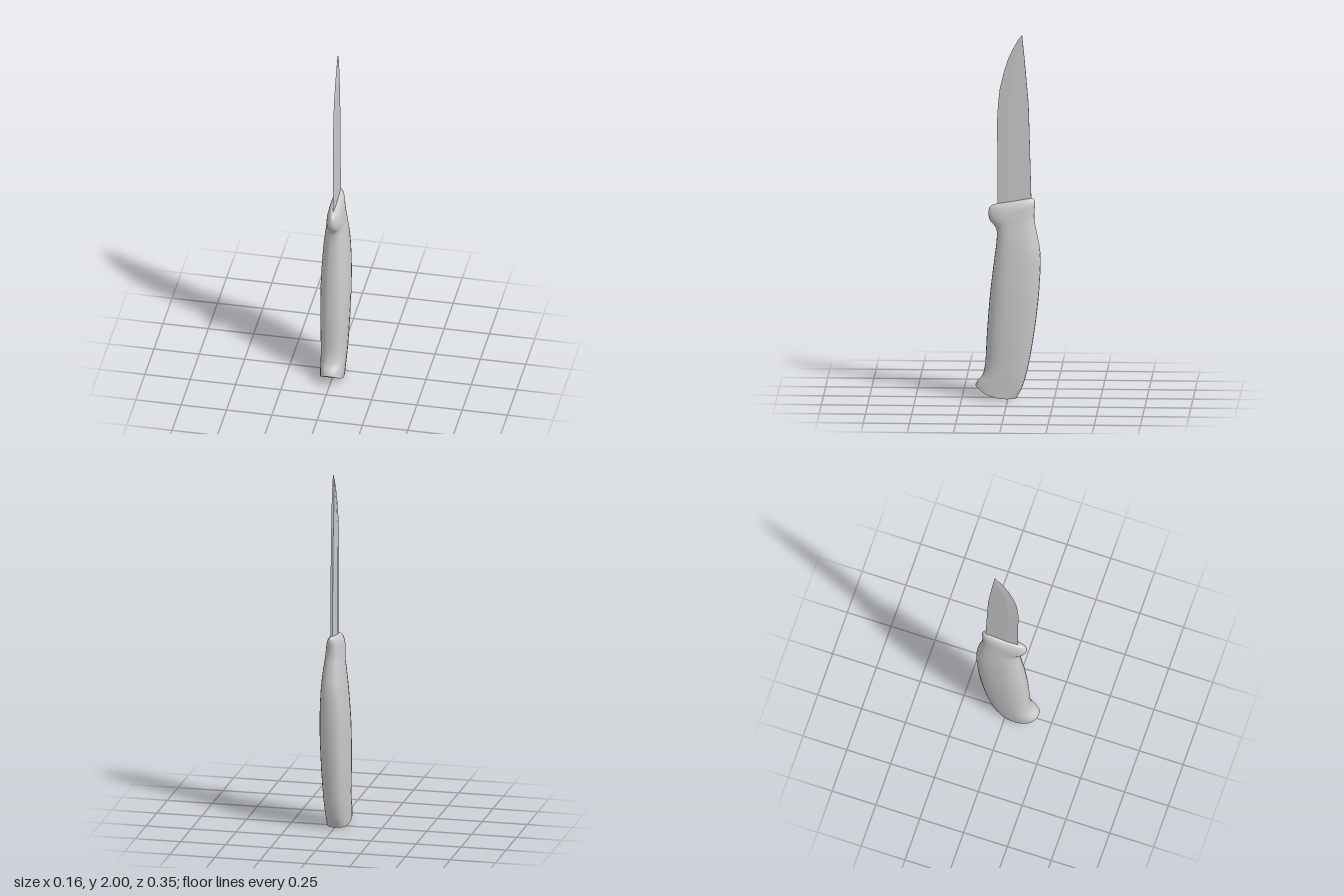
import * as THREE from 'three';

const material = new THREE.MeshStandardMaterial({ color: 0xcccccc, side: THREE.DoubleSide });

// Skins a stack of closed rings of [x, y, z] points
function loft(rings, flat) {
  const n = rings[0].length, index = [];
  for (let r = 0; r < rings.length - 1; r++) {
    for (let i = 0; i < n; i++) {
      const a = r * n + i, b = r * n + (i + 1) % n;
      index.push(a, b, b + n, a, b + n, a + n);
    }
  }
  let geometry = new THREE.BufferGeometry();
  geometry.setAttribute('position', new THREE.Float32BufferAttribute(rings.flat(2), 3));
  geometry.setIndex(index);
  if (flat) geometry = geometry.toNonIndexed();
  geometry.computeVertexNormals();
  return geometry;
}

function addPart(group, name, geometry) {
  const mesh = new THREE.Mesh(geometry, material);
  mesh.name = name;
  group.add(mesh);
}

// Handle sections: front y, front z, back y, back z, half width, bend of the section
const sections = [
  [0.07, 0.178, 0, -0.045, 0.062, 3],
  [0.09, 0.168, 0.06, -0.077, 0.065, 2],
  [0.18, 0.125, 0.18, -0.11, 0.07, 1.2],
  [0.36, 0.115, 0.4, -0.147, 0.077, 1],
  [0.575, 0.098, 0.62, -0.17, 0.078, 1],
  [0.79, 0.072, 0.8, -0.174, 0.068, 1],
  [0.88, 0.062, 0.9, -0.157, 0.058, 1],
  [0.935, 0.066, 0.98, -0.142, 0.048, 1],
  [0.975, 0.098, 1.03, -0.142, 0.043, 1],
  [1.015, 0.108, 1.07, -0.146, 0.036, 1],
  [1.045, 0.102, 1.09, -0.143, 0.026, 1],
  [1.062, 0.085, 1.1, -0.132, 0.014, 1],
  [1.068, 0.06, 1.1, -0.12, 0, 1],
];

// Rounded, slightly boxy section; scale shrinks it toward its middle
function handleRing(front, back, scale = 1) {
  const ring = [], sides = 28;
  const soften = (v) => Math.sign(v) * Math.abs(v) ** 0.8;
  for (let i = 0; i < sides; i++) {
    const a = (i / sides) * Math.PI * 2;
    const c = soften(Math.cos(a)) * scale;
    const x = soften(Math.sin(a)) * scale * Math.max(back.x, 0) * (1 + 0.08 * c * (1 - Math.abs(c)));
    const t = (c + 1) / 2;
    ring.push([x, back.y + (front.y - back.y) * t ** front.x, back.z + (front.z - back.z) * t]);
  }
  return ring;
}

// Blade sections: y, spine z, bevel z, edge z, half thickness
const bladeSections = [
  [0.95, -0.12, 0.0, 0.058, 0.006],
  [1.1, -0.125, 0.0, 0.058, 0.006],
  [1.53, -0.113, 0.0, 0.06, 0.006],
  [1.62, -0.11, -0.001, 0.055, 0.006],
  [1.7, -0.103, -0.008, 0.046, 0.006],
  [1.79, -0.095, -0.024, 0.025, 0.006],
  [1.86, -0.089, -0.043, 0.003, 0.006],
  [1.92, -0.083, -0.06, -0.024, 0.005],
  [1.97, -0.078, -0.07, -0.053, 0.004],
  [2.0, -0.075, -0.075, -0.075, 0.001],
];

export function createModel() {
  const group = new THREE.Group();
  group.name = 'knife';

  // Handle with finger guard
  const front = new THREE.CatmullRomCurve3(sections.map((s) => new THREE.Vector3(s[5], s[0], s[1])));
  const back = new THREE.CatmullRomCurve3(sections.map((s) => new THREE.Vector3(s[4], s[2], s[3])));
  const rings = [], steps = (sections.length - 1) * 4;
  for (let i = 0; i <= steps; i++) rings.push(handleRing(front.getPoint(i / steps), back.getPoint(i / steps)));
  addPart(group, 'handle', loft(rings, false));

  // Curved butt closing the handle, with a hard rim
  const butt = [0, 0.25, 0.5, 0.75, 1].map((s) => handleRing(front.getPoint(0), back.getPoint(0), s));
  addPart(group, 'handleButt', loft(butt, false));

  // Blade: flat spine, flat cheeks and a ground edge
  const blade = bladeSections.map(([y, spine, bevel, edge, h]) => [
    [0, y, edge], [h, y, bevel], [h, y, spine], [-h, y, spine], [-h, y, bevel],
  ]);
  addPart(group, 'blade', loft(blade, true));

  return group;
}
